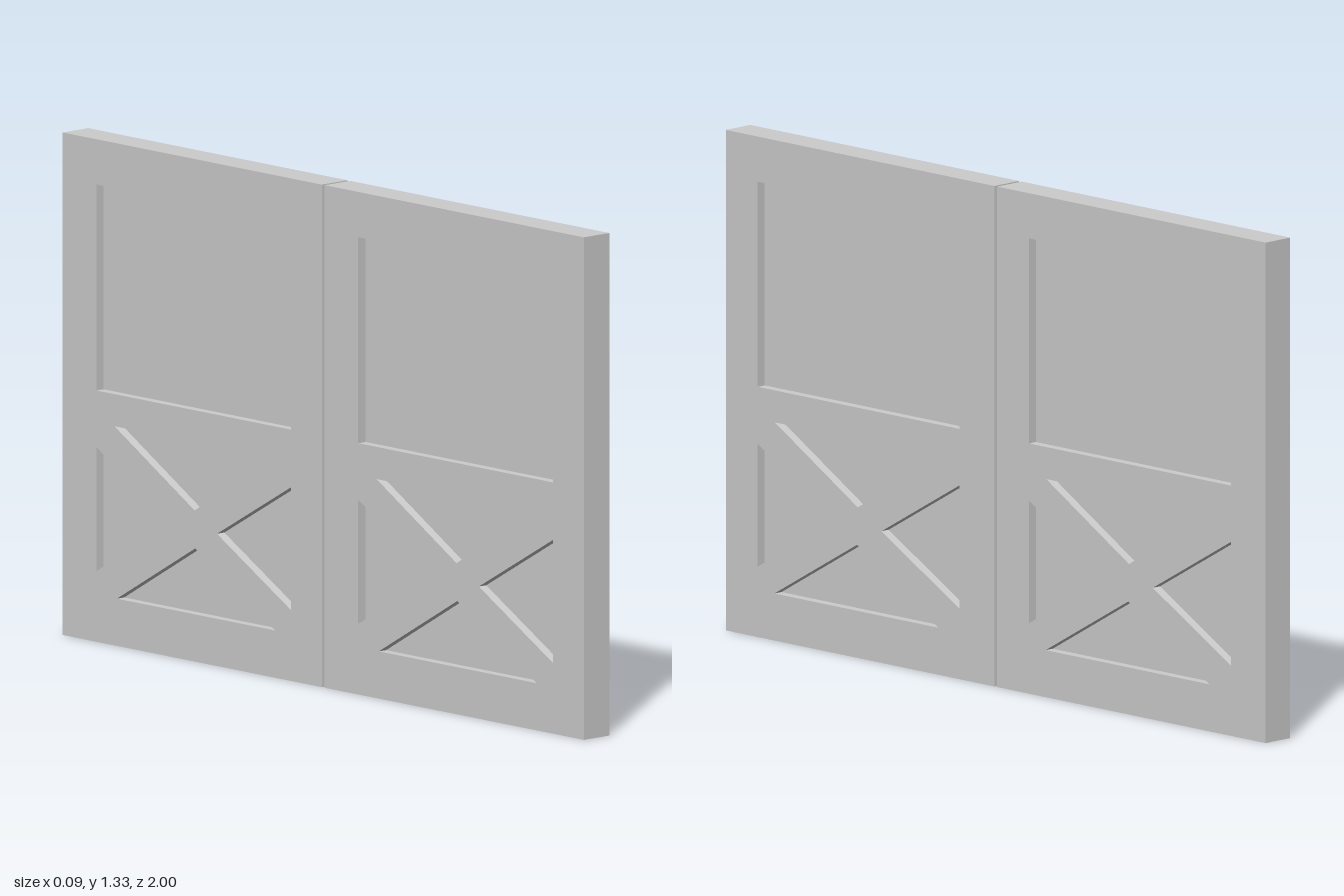
import * as THREE from 'three';

const HEIGHT = 1.33, THICK = 0.09, RECESS = 0.026;
const INNER = 0.005, OUTER = 1, DOOR_PITCH = 1.005;

// Openings of one door as [z, y] corners: window above, crossed braces below
const OPENINGS = {
  windowPanel: [[0.134, 0.665], [0.882, 0.665], [0.882, 1.21], [0.134, 1.21]],
  upperPanel: [[0.204, 0.58], [0.511, 0.4], [0.818, 0.58]],
  lowerPanel: [[0.213, 0.125], [0.82, 0.125], [0.514, 0.3]],
  outerPanel: [[0.882, 0.187], [0.882, 0.513], [0.597, 0.35]],
  innerPanel: [[0.134, 0.187], [0.423, 0.35], [0.134, 0.515]],
};

const toPoints = (corners) => corners.map(([z, y]) => new THREE.Vector2(z, y));

export function createModel() {
  const model = new THREE.Group();
  model.name = 'doubleDoor';
  const material = new THREE.MeshStandardMaterial({ color: 0xcccccc, flatShading: true });

  // Frame with braces: slab cut by the openings, extruded across x
  const outline = new THREE.Shape(toPoints([[INNER, 0], [OUTER, 0], [OUTER, HEIGHT], [INNER, HEIGHT]]));
  outline.holes = Object.values(OPENINGS).map((c) => new THREE.Path(toPoints(c)));
  const frameGeometry = new THREE.ExtrudeGeometry(outline, { depth: THICK, bevelEnabled: false });
  frameGeometry.translate(0, 0, -THICK / 2).rotateY(-Math.PI / 2);

  // Recessed panels: one sheet facing each side of the door
  const sheet = (corners, side) => {
    const geometry = new THREE.ShapeGeometry(new THREE.Shape(toPoints(corners)));
    geometry.translate(0, 0, THICK / 2 - RECESS);
    if (side > 0) geometry.scale(-1, 1, 1).rotateY(Math.PI / 2);
    else geometry.rotateY(-Math.PI / 2);
    // Mirroring reverses the corner order, so restore it
    if (side > 0) {
      geometry.index.array.reverse();
      geometry.computeVertexNormals();
    }
    return geometry;
  };

  ['leftDoor', 'rightDoor'].forEach((name, i) => {
    const door = new THREE.Group();
    door.name = name;
    door.position.z = -i * DOOR_PITCH;
    const add = (geometry, part) => {
      const mesh = new THREE.Mesh(geometry, material);
      mesh.name = part;
      door.add(mesh);
    };
    add(frameGeometry, 'bracedFrame');
    for (const [part, corners] of Object.entries(OPENINGS)) {
      for (const side of [-1, 1]) add(sheet(corners, side), part);
    }
    model.add(door);
  });
  return model;
}
